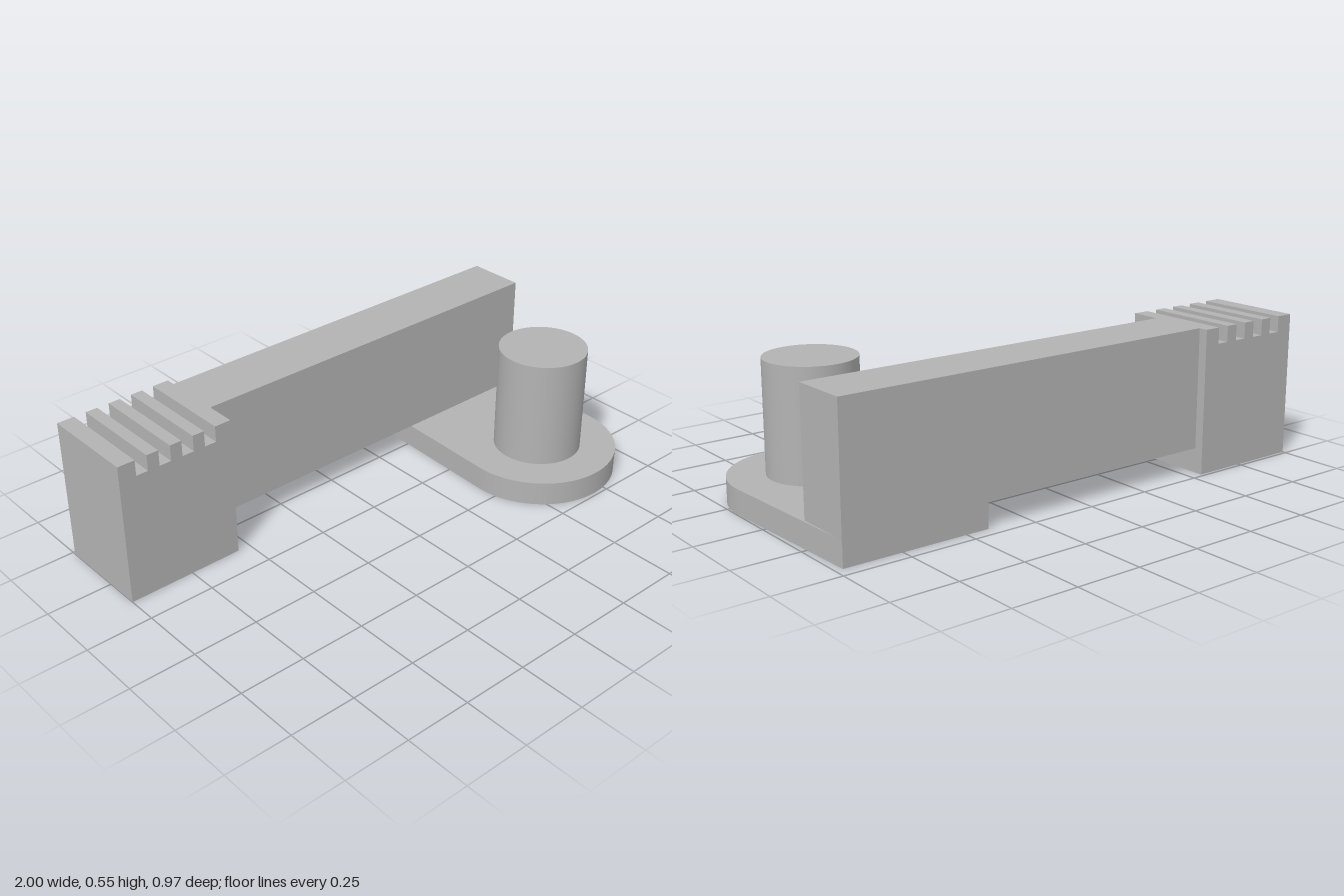
import * as THREE from 'three';

export function createModel() {
  const model = new THREE.Group();
  const grey = new THREE.MeshStandardMaterial({ color: 0xb3b3b3 });
  grey.name = 'plain grey';

  const add = (name, geometry) => {
    const mesh = new THREE.Mesh(geometry, grey);
    mesh.name = name;
    model.add(mesh);
    return mesh;
  };

  // Notched block: side profile with four square grooves, extruded along z
  const top = 0.545, grooveFloor = 0.485;
  const profile = new THREE.Shape();
  profile.moveTo(-1, 0);
  profile.lineTo(-0.55, 0);
  profile.lineTo(-0.55, top);
  for (let i = 3; i >= 0; i--) {
    const left = -0.934 + i * 0.0915, right = left + 0.0457;
    profile.lineTo(right, top);
    profile.lineTo(right, grooveFloor);
    profile.lineTo(left, grooveFloor);
    profile.lineTo(left, top);
  }
  profile.lineTo(-1, top);
  const blockGeometry = new THREE.ExtrudeGeometry(profile, { depth: 0.372, bevelEnabled: false });
  add('notchedBlock', blockGeometry.translate(0, 0, -0.487));

  // Long arm joining the block to the foot
  const armBottom = 0.093;
  const arm = add('arm', new THREE.BoxGeometry(1.524, top - armBottom, 0.222));
  arm.position.set(0.211, (top + armBottom) / 2, -0.341);

  // Foot plate: rounded front, sides tapering slightly to the back
  const cx = 0.692, cz = 0.182, radius = 0.305, back = -0.452, taper = 0.025;
  const outline = new THREE.Shape(); // shape y is -z
  outline.moveTo(cx + radius - taper, -back);
  outline.lineTo(cx - radius + taper, -back);
  outline.lineTo(cx - radius, -cz);
  outline.absarc(cx, -cz, radius, Math.PI, Math.PI * 2, false);
  outline.closePath();
  const footGeometry = new THREE.ExtrudeGeometry(outline, {
    depth: armBottom, bevelEnabled: false, curveSegments: 40,
  });
  add('footPlate', footGeometry.rotateX(-Math.PI / 2));

  // Round post standing on the foot
  const postTop = 0.51;
  const post = add('post', new THREE.CylinderGeometry(0.168, 0.168, postTop - armBottom, 64));
  post.position.set(cx, (postTop + armBottom) / 2, cz);

  return model;
}
